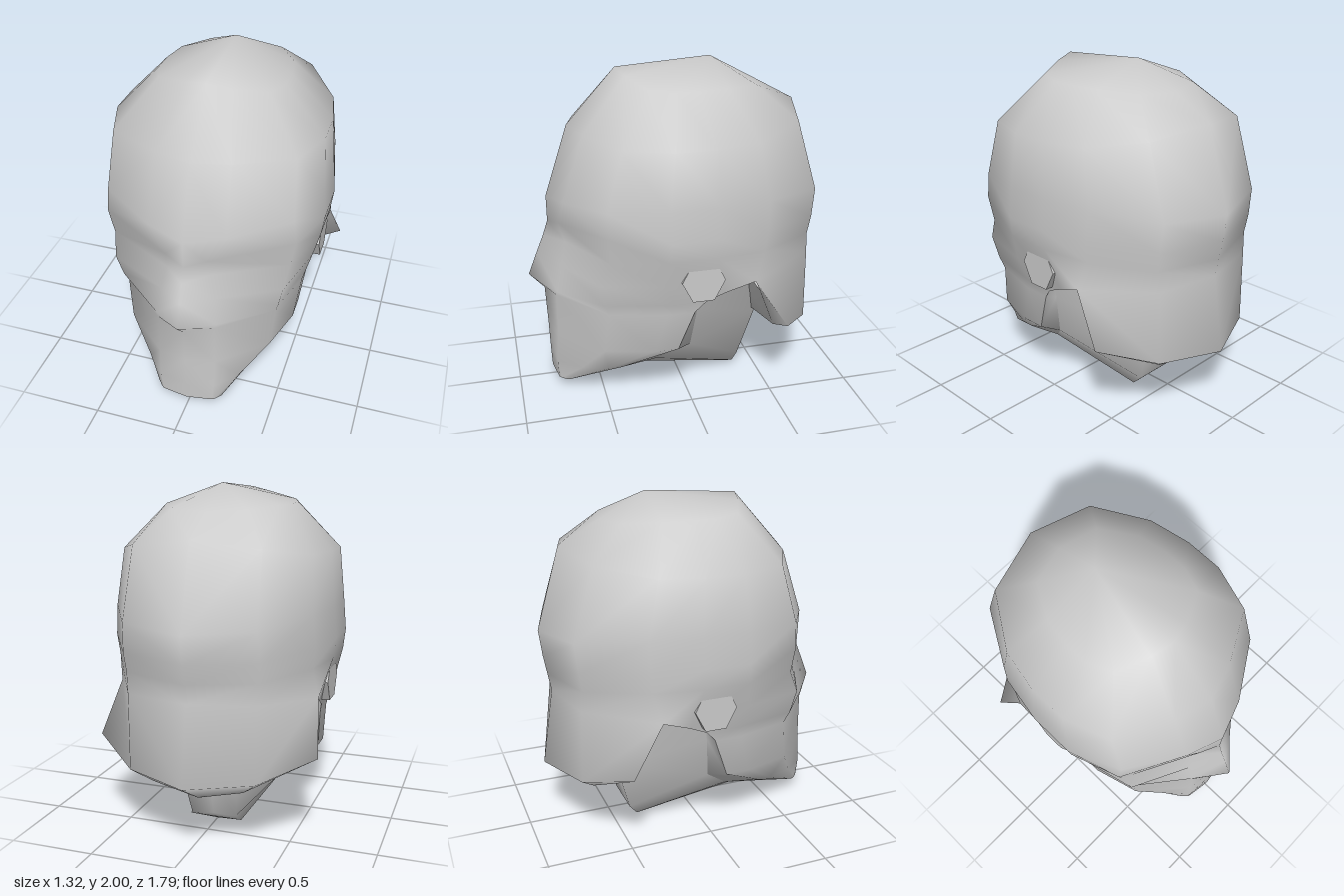
import * as THREE from 'three';
import { mergeVertices } from 'three/addons/utils/BufferGeometryUtils.js';

const mat = new THREE.MeshStandardMaterial({ color: 0xcccccc, side: THREE.DoubleSide });
const flat = new THREE.MeshStandardMaterial({ color: 0xcccccc, flatShading: true });

// Joins rows of points into a surface, mirrored across x = 0
function addSheet(out, rows) {
  const tri = (a, b, c) => {
    out.push(...a, ...b, ...c);
    for (const p of [a, c, b]) out.push(-p[0], p[1], p[2]);
  };
  for (let r = 0; r < rows.length - 1; r++) {
    for (let c = 0; c < rows[r].length - 1; c++) {
      const [a, b, d, e] = [rows[r][c], rows[r + 1][c], rows[r + 1][c + 1], rows[r][c + 1]];
      tri(a, b, d);
      tri(a, d, e);
    }
  }
}

function smoothMesh(name, sheets) {
  const out = [];
  sheets.forEach((s) => addSheet(out, s));
  // drop triangles collapsed to a line or point
  const keep = [];
  for (let i = 0; i < out.length; i += 9) {
    const [a, b, c] = [0, 3, 6].map((k) => new THREE.Vector3().fromArray(out, i + k));
    if (b.sub(a).cross(c.sub(a)).length() > 1e-7) keep.push(...out.slice(i, i + 9));
  }
  let g = new THREE.BufferGeometry();
  g.setAttribute('position', new THREE.Float32BufferAttribute(keep, 3));
  g = mergeVertices(g, 1e-4);
  g.computeVertexNormals();
  const m = new THREE.Mesh(g, mat);
  m.name = name;
  return m;
}

// Half ring of the skull, from front centre round the side to back centre
const RX = [0, 0.35, 0.85, 1, 1, 0.92, 0.6, 0];
const RZ = [1, 0.9, 0.64, 0.21, -0.13, -0.47, -0.87, -1];
function ring(w, zf, zb, yf, ys, yb, fix = {}) {
  return RX.map((x, i) => {
    const k = RZ[i], end = k > 0 ? yf : yb;
    return fix[i] ?? [x * w, ys + (end - ys) * k ** 4, k > 0 ? zf * k : zb * -k];
  });
}

// Half row of the lower face, from front centre to the rear edge of the jaw
function faceRow(y, w, zf, rear, a, fix = {}) {
  const xs = [0, a, 0.85, 1, 1], ks = [1, 0.94, 0.6, 0.2, 0];
  return xs.map((x, i) => fix[i] ?? [x * w, y, rear + (zf - rear) * ks[i]]);
}

export function createModel() {
  const group = new THREE.Group();

  // Cranium with brow and eye hollows
  const skull = [
    RX.map(() => [0, 2, -0.22]),
    ring(0.37, 0.34, -0.5, 1.96, 1.88, 1.85),
    ring(0.615, 0.63, -0.74, 1.64, 1.62, 1.72),
    ring(0.64, 0.77, -0.88, 1.22, 1.3, 1.24),
    ring(0.655, 0.77, -0.86, 1.06, 1.12, 1.08, { 1: [0.12, 1.09, 0.72], 2: [0.56, 1.14, 0.49] }),
    ring(0.64, 0.8, -0.84, 0.97, 1, 0.97, { 1: [0.13, 0.97, 0.685], 2: [0.53, 0.98, 0.48] }),
    ring(0.6, 0.845, -0.82, 0.86, 0.84, 0.86, {
      1: [0.16, 0.83, 0.715], 4: [0.575, 0.75, -0.17], 5: [0.61, 0.82, -0.34], 6: [0.375, 0.86, -0.74],
    }),
  ];
  const last = skull[skull.length - 1];

  // Nose, cheeks, jaw and chin
  const face = [
    last.slice(0, 5),
    faceRow(0.7, 0.565, 0.9, -0.06, 0.35, { 0: [0, 0.72, 0.9], 1: [0.18, 0.67, 0.75] }),
    faceRow(0.63, 0.545, 0.81, 0, 0.35, { 0: [0, 0.62, 0.81], 1: [0.17, 0.645, 0.755] }),
    faceRow(0.38, 0.515, 0.8, 0.09, 0.33),
    faceRow(0.19, 0.335, 0.795, 0.4, 0.5),
    faceRow(0.065, 0.2, 0.79, 0.7, 0.8, { 1: [0.155, 0.065, 0.765] }),
  ];

  // Flared nape, its lip turning in towards the neck
  const nape = [
    [last[5], ...last.slice(5)],
    [[0.6, 0.78, -0.36], [0.66, 0.53, -0.53], [0.37, 0.42, -0.75], [0, 0.4, -0.89]],
    [[0.55, 0.74, -0.38], [0.5, 0.46, -0.5], [0.27, 0.33, -0.66], [0, 0.26, -0.65]],
    [[0.36, 0.78, -0.36], [0.28, 0.58, -0.42], [0.18, 0.42, -0.46], [0, 0.38, -0.47]],
  ];
  group.add(smoothMesh('head', [skull, face, nape]));

  // Underside of the jaw: jaw edge inward to the throat line
  const edge = face.slice(1).reverse().map((r) => r[4]);
  const throat = [[0, 0.1, 0.3], [0.14, 0.1, 0.3], [0.3, 0.2, 0.18], [0.44, 0.36, 0], [0.49, 0.62, -0.03], [0.54, 0.92, -0.08]];
  group.add(smoothMesh('jawUnderside', [[[face[5][0], ...edge], throat]]));

  // Neck, sloping back from the throat and running up inside the head
  const rear = [[0, 0, -0.33], [0.13, 0.005, -0.33], [0.16, 0.02, -0.36], [0.14, 0.06, -0.4], [0.18, 0.38, -0.49], [0.44, 0.92, -0.38]];
  const backCentre = rear.map(([, y, z]) => [0, y, z]);
  group.add(smoothMesh('neck', [[throat, rear, backCentre]]));

  // Hexagonal ear discs
  for (const side of [1, -1]) {
    const disc = new THREE.CylinderGeometry(0.126, 0.126, 0.06, 6).rotateZ(Math.PI / 2).scale(1, 1.12, 1);
    const ear = new THREE.Mesh(disc, flat);
    ear.position.set(side * 0.592, 0.86, -0.03);
    ear.name = side > 0 ? 'leftEar' : 'rightEar';
    group.add(ear);
  }
  return group;
}
